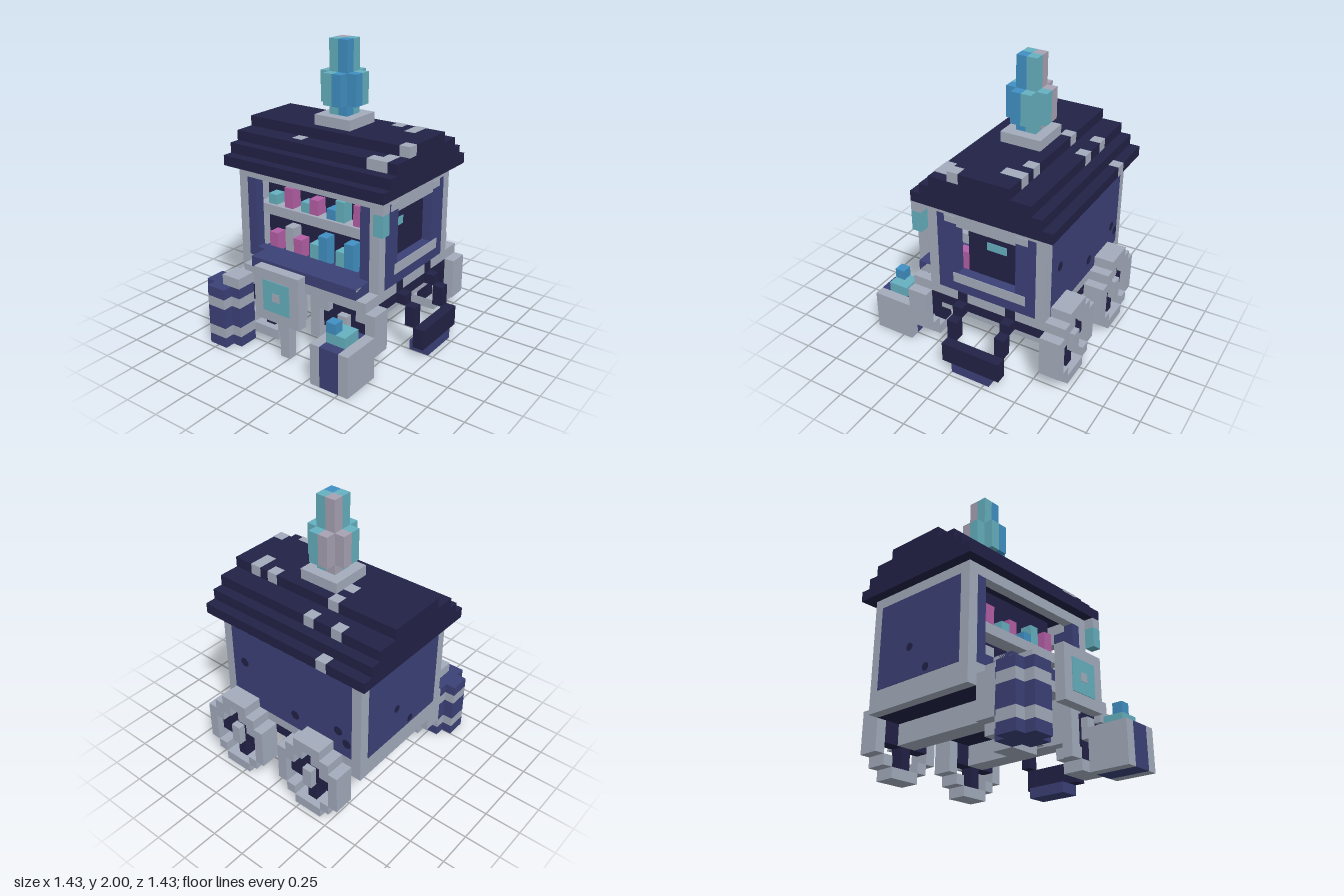
import * as THREE from 'three';

const mat = (name, color) => Object.assign(new THREE.MeshStandardMaterial({ color }), { name });

export function createModel() {
  const grey = mat('pale grey wood', 0xa4acbc);
  const dark = mat('dark navy', 0x222247);
  const indigo = mat('indigo', 0x3c4178);
  const teal = mat('teal', 0x65b0bf);
  const blue = mat('bright blue', 0x4090c4);
  const pink = mat('pink', 0xb45fa6);
  const lavender = mat('lavender grey', 0xa8a2b4);

  const root = new THREE.Group();
  root.name = 'shopWagon';
  root.scale.setScalar(1 / 14); // all sizes below are in blocks of 1/14 unit

  const group = (name, parent = root) => {
    const g = new THREE.Group();
    g.name = name;
    parent.add(g);
    return g;
  };
  // Box given by its limits on each axis
  const box = (parent, name, material, x0, x1, y0, y1, z0, z1) => {
    const m = new THREE.Mesh(new THREE.BoxGeometry(x1 - x0, y1 - y0, z1 - z0), material);
    m.position.set((x0 + x1) / 2, (y0 + y1) / 2, (z0 + z1) / 2);
    m.name = name;
    parent.add(m);
    return m;
  };

  // Chassis
  const chassis = group('chassis');
  box(chassis, 'floor', dark, -4, 8, 5, 6, -8, 7);
  box(chassis, 'floorFrame', grey, -4, 8, 6, 7, -8, 7);
  box(chassis, 'rearBeam', grey, -4, 8, 5, 7, -9, -8);
  for (const z of [-4.5, 4.5]) box(chassis, 'axle', grey, -4, 8, 3, 5, z - 1, z + 1);

  // Hollow walls
  const walls = group('walls');
  for (const [x, z] of [[-4, -9], [7, -9], [-4, 6], [7, 6]]) box(walls, 'cornerPost', grey, x, x + 1, 7, 16, z, z + 1);
  box(walls, 'rearWall', grey, -3, 7, 7, 16, -9, -8);
  box(walls, 'rightWall', grey, 7, 8, 7, 16, -8, 6);
  box(walls, 'frontWallLeft', indigo, -3, -1, 7, 15, 6, 7);
  box(walls, 'frontWallRight', indigo, 5, 7, 7, 15, 6, 7);
  box(walls, 'frontSill', indigo, -1, 5, 7, 9, 6, 7);
  box(walls, 'frontLintel', grey, -1, 5, 14, 15, 6, 7);
  box(walls, 'frontTopRail', grey, -3, 7, 15, 16, 6, 7);
  box(walls, 'sideTopRail', grey, -4, -3, 15, 16, -8, 6);
  box(walls, 'sideSill', indigo, -4, -3, 7, 8, -8, 6);
  box(walls, 'openingJambRear', indigo, -4, -3, 8, 15, -8, -7);
  box(walls, 'openingJambFront', indigo, -4, -3, 8, 15, 5, 6);

  // Painted panels and trims
  box(walls, 'rightPanel', indigo, 8, 8.06, 7, 15, -8, 6);
  box(walls, 'rearPanel', indigo, -3, 7, 7, 15, -9.06, -9);
  box(walls, 'windowLedge', grey, -1.45, 6, 8, 9, 7, 7.06);
  box(walls, 'windowHeadLeft', grey, -2.2, -1, 14.3, 15, 7, 7.06);
  box(walls, 'windowHeadRight', grey, 5, 6.2, 14.3, 15, 7, 7.06);

  // Knots in the panels
  const knot = (a, y, r, onRight) => {
    const m = new THREE.Mesh(new THREE.CircleGeometry(r, 8, Math.PI / 8), dark);
    m.name = 'woodKnot';
    if (onRight) { m.position.set(8.09, y, a); m.rotation.y = Math.PI / 2; }
    else { m.position.set(a, y, -9.09); m.rotation.y = Math.PI; }
    walls.add(m);
  };
  for (const [z, y] of [[4.55, 11.5], [-1.55, 8.5], [-6.55, 9.5], [-7.5, 8.5]]) knot(z, y, 0.48, true);
  for (const [x, y] of [[3, 10], [0.9, 7.6]]) knot(x, y, 0.4, false);

  // Roof slabs with weathered patches
  const roof = group('roof');
  [[-5, 9], [-4, 8], [-3, 7], [-1, 5]].forEach(([a, b], i) => box(roof, 'roofSlab', dark, a, b, 16 + i, 17 + i, -10, 8));
  const patches = [
    [-2, 18, -4], [2, 19, -4], [4, 19, -4], [6, 18, -6], [8, 16, -6], [6, 18, -3], [4, 19, 3],
    [3, 19, 5], [4, 19, 5], [-3, 18, 5], [-3, 18, 6], [-2, 18, 6], [-1, 19, 7],
  ];
  const e = 0.04;
  for (const [x, y, z] of patches) box(roof, 'roofPatch', grey, x - e, x + 1 + e, y + e, y + 1 + e, z - e, z + 1 + e);

  // Crystal on the roof, one colour to each quarter
  const crystal = group('roofCrystal');
  box(crystal, 'crystalBase', grey, 0, 4, 20, 21, -3, 1);
  for (const [sx, sz, m] of [[-1, 1, blue], [1, 1, teal], [-1, -1, teal], [1, -1, lavender]]) {
    const part = (name, w, d, y0, y1, ox = 0, oz = 0) => box(crystal, name, m,
      2 + Math.min(sx * ox, sx * (ox + w)), 2 + Math.max(sx * ox, sx * (ox + w)), y0, y1,
      -1 + Math.min(sz * oz, sz * (oz + d)), -1 + Math.max(sz * oz, sz * (oz + d)));
    part('crystalCore', 1, 1, 21, 28);
    part('crystalSideX', 1, 1, 22, 25, 1, 0);
    part('crystalSideZ', 1, 1, 22, 25, 0, 1);
  }

  // Lantern under the eave
  const lantern = group('lantern');
  box(lantern, 'lanternBracket', grey, -5, -4, 15, 16, 7, 8);
  box(lantern, 'lanternGlow', teal, -5, -4, 13, 15, 7, 8);

  // Cabinet inside, with shelf and goods
  const shop = group('shopInterior');
  box(shop, 'cabinet', dark, -1, 7, 7, 16, -8, 5);
  box(shop, 'glowPlate', teal, 1, 3, 11.1, 11.9, 5, 5.08);
  box(shop, 'interiorFloor', indigo, -3, 7, 7, 7.1, -8, 6);
  box(shop, 'shelf', grey, -2.5, -1, 11, 12, -8, 5);
  const goods = [
    [-7, 12, teal, 1], [-5, 12, pink, 2], [-3, 12, teal, 1], [-2, 12, pink, 1.5], [0, 12, blue, 1], [1, 12, teal, 2], [3, 12, pink, 2],
    [-7, 7, pink, 2], [-5, 7, grey, 3], [-4, 7, pink, 2], [-2, 7, teal, 2], [-1, 7, blue, 3], [1, 7, teal, 2], [2, 7, blue, 3], [4, 7, pink, 3],
  ];
  for (const [z, y, m, h] of goods) box(shop, 'goods', m, -2.2, -1, y, y + h, z, z + 1);

  // Counter along the open side
  const counter = group('counter');
  box(counter, 'counterTop', indigo, -6.03, -4, 7, 8.04, -6, 6);
  box(counter, 'counterApron', grey, -6, -4, 6, 7, -6, 6);

  // Wheels from a block pattern, top row first
  const pattern = ['..GGG..', '.GGDGG.', 'GGDDDGG', 'GDDGDDG', 'GDDGDDG', 'G..D..G', '.G.D.G.', '..GGG..'];
  for (const side of [1, -1]) for (const z of [4.5, -4.5]) {
    const wheel = group('wheel');
    pattern.forEach((row, r) => {
      for (const run of row.matchAll(/G+|D+/g)) {
        const rim = run[0][0] === 'G';
        const z1 = z + 3.5 - run.index;
        const a = 2 + side * 6, b = 2 + side * (rim ? 8 : 7.3);
        box(wheel, rim ? 'wheelRim' : 'wheelSpoke', rim ? grey : dark,
          Math.min(a, b), Math.max(a, b), 7 - r, 8 - r, z1 - run[0].length, z1);
      }
    });
  }

  // Front step hung on two arms
  const step = group('frontStep');
  for (const x of [-1, 4]) {
    box(step, 'armTop', dark, x, x + 1, 5, 7, 6, 7.08);
    box(step, 'armReach', dark, x, x + 1, 5, 6, 7, 8);
    box(step, 'armDrop', dark, x, x + 1, 3, 5, 8, 9);
    box(step, 'stepSide', dark, x, x + 1, 1, 3, 8.9, 10);
  }
  box(step, 'stepBar', dark, 0, 4, 1, 3, 9, 10);
  box(step, 'stepTread', indigo, 0, 4, 0, 1, 8, 10);

  // Sign board on a post
  const sign = group('sign');
  box(sign, 'signPost', grey, -8, -7, 0, 8, -1, 0);
  box(sign, 'signBoard', grey, -9, -8, 4, 9, -3, 2);
  box(sign, 'signSquare', teal, -9.06, -9, 5, 8, -2, 1);
  box(sign, 'signDot', grey, -9.1, -9.06, 6.1, 6.9, -0.9, -0.1);

  // Crate of crystals
  const crate = group('crate');
  box(crate, 'crateRear', grey, -10, -6, 0, 4, 4, 5);
  box(crate, 'crateMiddle', indigo, -10, -6, 0, 4, 5, 7);
  box(crate, 'crateFront', grey, -10, -6, 0, 4, 7, 8);
  box(crate, 'crateCrystal', teal, -9, -7, 4, 5, 5, 7);
  box(crate, 'crateCrystalTip', blue, -9, -8, 5, 6, 5, 6);

  // Barrel of banded plus-shaped layers
  const barrel = group('barrel');
  for (const [y0, y1, m] of [[0, 1, indigo], [1, 2, grey], [2, 4, indigo], [4, 5, grey], [5, 6, indigo]]) {
    box(barrel, 'barrelBand', m, -9, -7, y0, y1, -9, -5);
    for (const x of [-10, -7]) box(barrel, 'barrelBandSide', m, x, x + 1, y0, y1, -8, -6);
  }
  box(barrel, 'barrelParcel', grey, -9, -7, 6, 7, -7, -5);

  return root;
}
